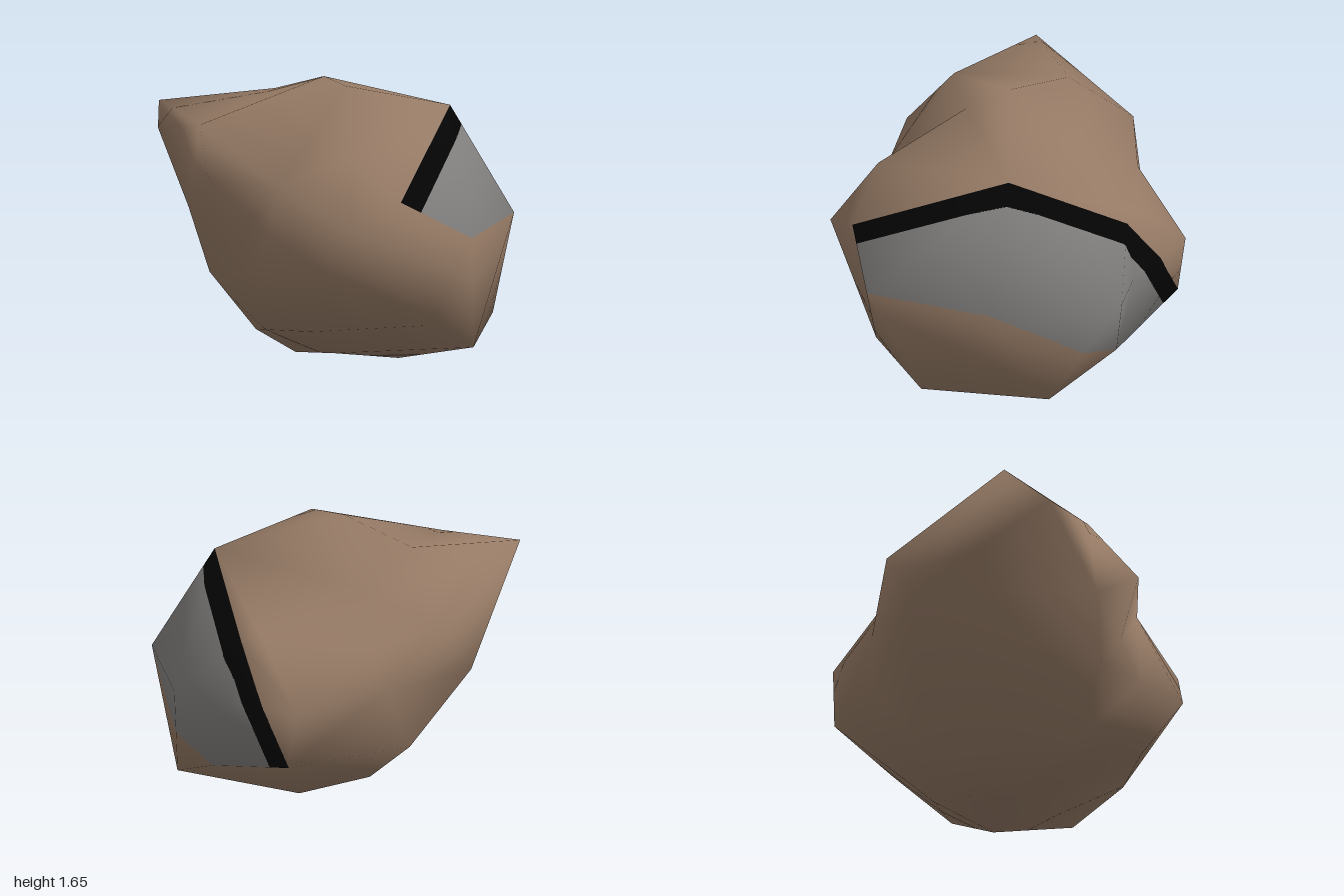
import * as THREE from 'three';
import { ConvexGeometry } from 'three/addons/geometries/ConvexGeometry.js';
import { mergeVertices } from 'three/addons/utils/BufferGeometryUtils.js';

const V = (x, y, z) => new THREE.Vector3(x, y, z);
const CENTRE = V(0, 0.85, 0);

// Corners of the bare patch, clockwise from its left end; the first four carry the dark rim
const PATCH = [
  V(-0.34, 1.05, 0.83), V(0.4, 1.49, 0.31), V(0.74, 1.19, -0.23), V(0.79, 0.61, -0.61),
  V(0.85, 0.46, -0.1), V(0.63, 0.89, 0.61), V(0.01, 0.85, 0.98),
];

// Remaining corners of the boulder
const CORNERS = [
  ...PATCH,
  V(1, 0.92, 0.02), V(0.83, 0.88, -0.22), V(0.78, 0.94, -0.65), V(0.71, 1.26, -0.34), // right side
  V(-0.16, 1.65, -0.14), V(-0.2, 1.61, 0.13), V(-0.2, 1.56, -0.6), V(0.08, 1.37, -0.47), // crown
  V(-0.83, 1.5, -0.87), V(0, 1.27, -0.94), V(0.28, 1.14, -0.73),       // back top
  V(-0.27, 0.93, -0.98), V(0.25, 0.93, -0.81),                         // back ledge
  V(0.12, 0.57, -0.88), V(0.08, 0.25, -0.57), V(0.32, 0.12, -0.25),    // lower back
  V(-0.95, 1.36, -0.66), V(-0.89, 1.4, -0.28), V(-1, 1.14, 0),         // left side
  V(-0.96, 0.95, -0.3), V(-0.89, 0.59, -0.2),
  V(-0.74, 1.1, 0.3), V(-0.81, 0.85, 0.06), V(-0.825, 0.64, 0.2),      // left hollow
  V(-0.45, 1.3, 0.57), V(-0.63, 0.92, 0.8), V(-0.76, 0.68, 0.66),      // front left
  V(-0.63, 0.33, 0.42), V(-0.15, 0.38, 0.84),
  V(0.2, 0.2, 0.78), V(0.75, 0.24, 0.3),                               // underside
  V(0.2, 0, 0.1), V(-0.2, 0.07, 0.02), V(-0.3, 0.04, -0.24), V(-0.63, 0.24, -0.14),
];

// Flat projection seen from the centre, for testing what lies in the patch
const AXIS = V(0.78, 0.2, 0.45).normalize();
const SIDE = V(0, 1, 0).cross(AXIS).normalize();
const UP = AXIS.clone().cross(SIDE);
function project(p) {
  const d = p.clone().sub(CENTRE);
  const k = d.dot(AXIS);
  return k > 0.03 ? [d.dot(SIDE) / k, d.dot(UP) / k] : null;
}
const OUTLINE = PATCH.map(project);
const RIM = [0, 1, 2].map((i) =>
  PATCH[i].clone().sub(CENTRE).cross(PATCH[i + 1].clone().sub(CENTRE)).normalize());

// 0 = rock, 1 = bare patch, 2 = rim
function zone(p) {
  const q = project(p);
  if (!q) return 0;
  let inside = false;
  OUTLINE.forEach((a, i) => {
    const b = OUTLINE[(i + 1) % OUTLINE.length];
    if ((a[1] > q[1]) !== (b[1] > q[1]) &&
        q[0] < a[0] + ((q[1] - a[1]) / (b[1] - a[1])) * (b[0] - a[0])) inside = !inside;
  });
  if (!inside) return 0;
  const d = p.clone().sub(CENTRE);
  return RIM.some((n) => Math.abs(n.dot(d)) < 0.118) ? 2 : 1;
}

// Join the corners by the hull of their directions, which allows hollows
function boulderGeometry() {
  const dirs = CORNERS.map((p) => p.clone().sub(CENTRE).normalize());
  let geo = new ConvexGeometry(dirs);
  geo.deleteAttribute('normal');
  const pos = geo.attributes.position;
  const d = V(0, 0, 0);
  for (let i = 0; i < pos.count; i++) {
    d.fromBufferAttribute(pos, i);
    let best = 0;
    dirs.forEach((e, j) => { if (e.distanceTo(d) < dirs[best].distanceTo(d)) best = j; });
    pos.setXYZ(i, CORNERS[best].x, CORNERS[best].y, CORNERS[best].z);
  }
  geo = mergeVertices(geo, 1e-4);
  geo.computeVertexNormals();
  return geo.toNonIndexed();
}

// Split the faces finely along the patch border and sort them by zone
function splitByZone(geo) {
  const out = [0, 1, 2].map(() => ({ p: [], n: [] }));
  const mid = (a, b) => ({ p: a.p.clone().lerp(b.p, 0.5), n: a.n.clone().lerp(b.n, 0.5) });
  function split(a, b, c, depth) {
    const centre = a.p.clone().add(b.p).add(c.p).divideScalar(3);
    const z = zone(centre);
    const uniform = [a, b, c].every((v) => zone(v.p) === z);
    if (depth >= 7 || (depth >= 4 && uniform)) {
      for (const v of [a, b, c]) {
        out[z].p.push(v.p.x, v.p.y, v.p.z);
        out[z].n.push(v.n.x, v.n.y, v.n.z);
      }
      return;
    }
    const ab = mid(a, b), bc = mid(b, c), ca = mid(c, a);
    split(a, ab, ca, depth + 1);
    split(ab, b, bc, depth + 1);
    split(ca, bc, c, depth + 1);
    split(ab, bc, ca, depth + 1);
  }
  const { position, normal } = geo.attributes;
  const corner = (i) => ({
    p: V(0, 0, 0).fromBufferAttribute(position, i),
    n: V(0, 0, 0).fromBufferAttribute(normal, i),
  });
  for (let i = 0; i < position.count; i += 3) split(corner(i), corner(i + 1), corner(i + 2), 0);
  return out.map(({ p, n }) => {
    const g = new THREE.BufferGeometry();
    g.setAttribute('position', new THREE.Float32BufferAttribute(p, 3));
    g.setAttribute('normal', new THREE.Float32BufferAttribute(n, 3));
    g.normalizeNormals();
    return g;
  });
}

export function createModel() {
  const group = new THREE.Group();
  group.name = 'boulder';
  const parts = [
    ['rock', 'brown stone', 0x947964],
    ['barePatch', 'grey stone', 0x7f7d7b],
    ['patchRim', 'black rim', 0x040404],
  ];
  splitByZone(boulderGeometry()).forEach((geo, i) => {
    const [name, colourName, hex] = parts[i];
    const material = new THREE.MeshStandardMaterial({ color: hex });
    material.name = colourName;
    const mesh = new THREE.Mesh(geo, material);
    mesh.name = name;
    group.add(mesh);
  });
  return group;
}
